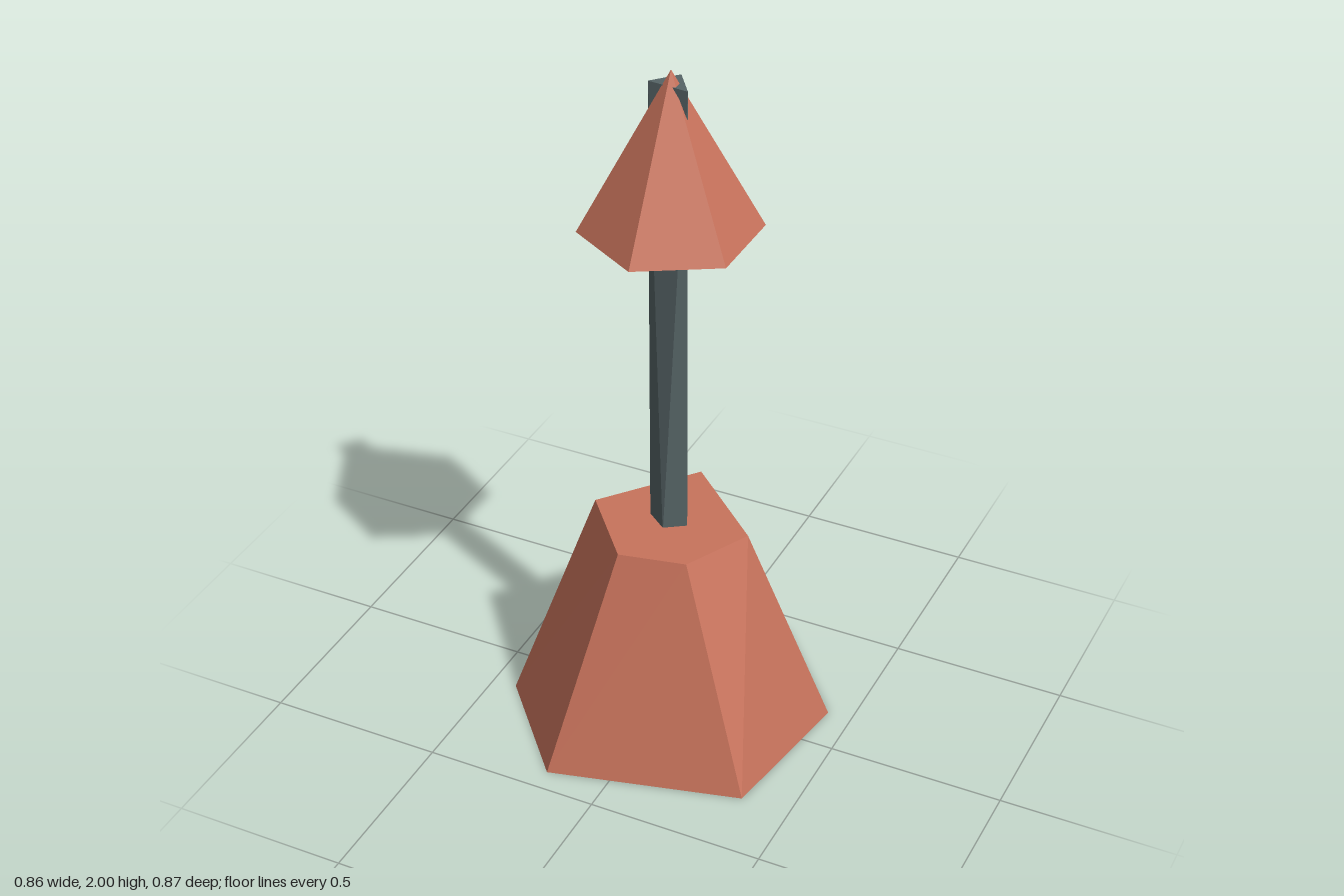
import * as THREE from 'three';
import { ConvexGeometry } from 'three/addons/geometries/ConvexGeometry.js';

const red = new THREE.MeshStandardMaterial({ color: 0xc8735c, flatShading: true });
const slate = new THREE.MeshStandardMaterial({ color: 0x566466, flatShading: true });

// Faceted solid spanning two horizontal outlines given as [x, z] corners
function loft(lowY, low, highY, high) {
  const ring = (y, corners) => corners.map(([x, z]) => new THREE.Vector3(x, y, z));
  return new ConvexGeometry([...ring(lowY, low), ...ring(highY, high)]);
}

export function createModel() {
  const model = new THREE.Group();
  const add = (name, geometry, material) => {
    const mesh = new THREE.Mesh(geometry, material);
    mesh.name = name;
    model.add(mesh);
    return mesh;
  };

  // Base: six-sided foot narrowing to a five-sided top
  const half = [[0.43, -0.14], [0.172, -0.435], [-0.36, -0.3]];
  const foot = [...half, ...half.map(([x, z]) => [-x, -z])];
  const deck = [[-0.225, 0.015], [-0.055, 0.215], [0.13, 0.176], [0.225, -0.015], [-0.02, -0.237]];
  add('base', loft(0, foot, 0.64, deck), red);

  // Mast: four-sided at the base, three-sided at the tip
  add('mast', loft(
    0.62, [[0, -0.057], [-0.06, 0.006], [0, 0.052], [0.056, 0.014]],
    1.96, [[0, -0.06], [-0.06, 0.008], [0.056, 0.02]]
  ), slate);

  // Cone marker threaded over the mast tip
  add('topCone', new THREE.ConeGeometry(0.244, 0.45, 6), red).position.y = 1.775;

  return model;
}
